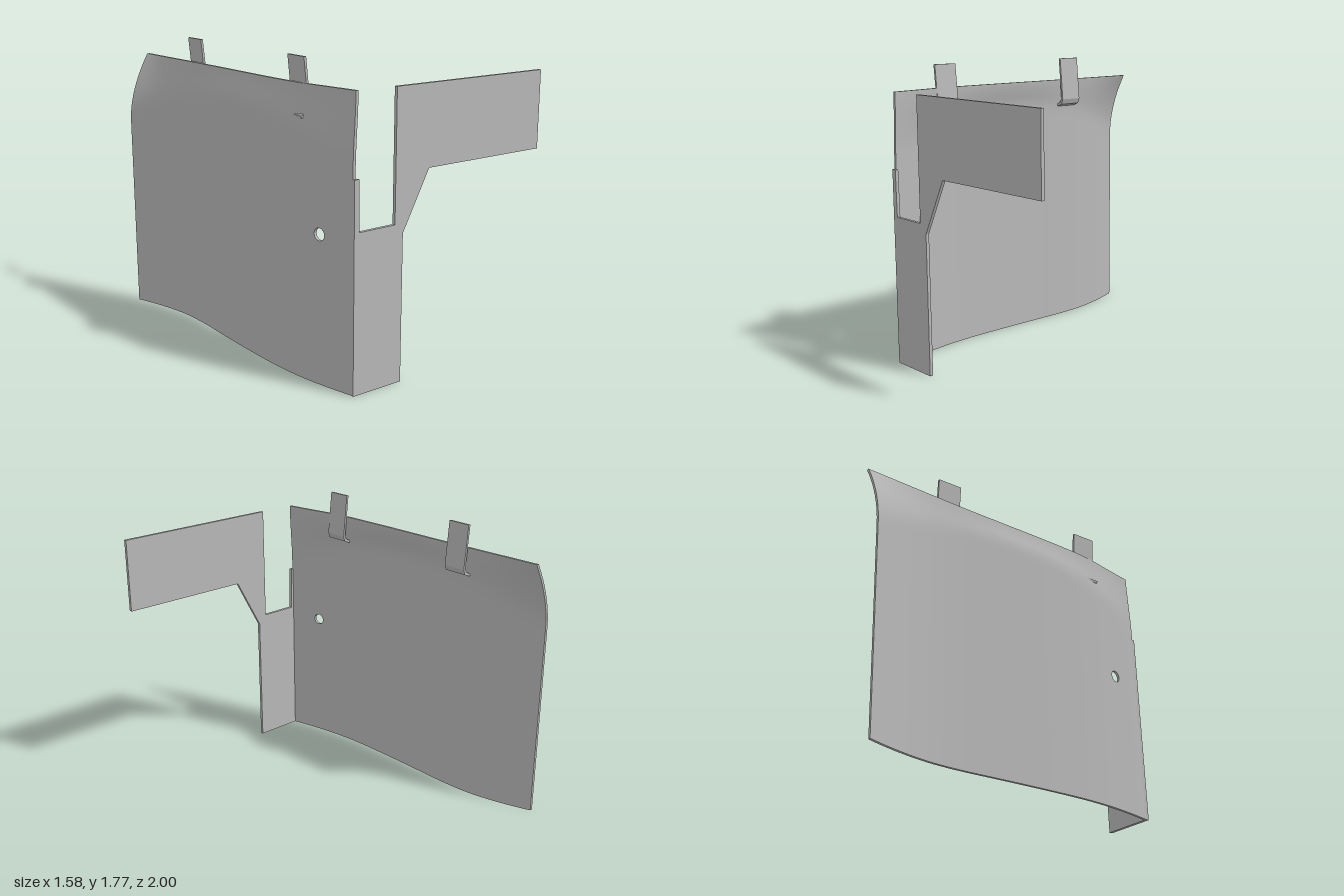
import * as THREE from 'three';
import { mergeVertices } from 'three/addons/utils/BufferGeometryUtils.js';

const THICK = 0.016, TOP = 1.63, FRONT = 0.985, STEP = 0.04;
const HOLE = { z: 0.77, y: 0.85, r: 0.035 };

// Plan-view x profiles of the panel, sampled every 0.2 in z from -1.2 to 1.2
const profile = (xs) => {
  const curve = new THREE.SplineCurve(xs.map((x, i) => new THREE.Vector2(x, -1.2 + i * 0.2)));
  return (z) => curve.getPoint((z + 1.2) / 2.4).x;
};
const lowerX = profile([-0.88, -0.79, -0.72, -0.673, -0.656, -0.655, -0.655, -0.652, -0.645, -0.625, -0.587, -0.535, -0.48]);
const upperX = profile([-0.664, -0.656, -0.647, -0.638, -0.63, -0.625, -0.621, -0.617, -0.61, -0.595, -0.558, -0.522, -0.5]);

// Outer surface: the lower profile bends into the straighter top edge
function outer(z, y) {
  const start = 1.46 - 0.24 * z * z;
  const t = THREE.MathUtils.clamp((y - start) / (TOP - start), 0, 1);
  const f = THREE.MathUtils.lerp(t * t * (3 - 2 * t), t ** 1.8, z < 0 ? z * z : 0);
  return new THREE.Vector3(THREE.MathUtils.lerp(lowerX(z), upperX(z), f), y, z);
}

// Inner surface: offset by the sheet thickness, keeping the sheet's own border
function inner(z, y) {
  const e = 0.005;
  const dz = outer(z + e, y).sub(outer(z - e, y));
  const dy = outer(z, y + e).sub(outer(z, y - e));
  const n = dy.cross(dz).normalize();
  const p = outer(z, y);
  p.x += THICK / Math.max(n.x, 0.6);
  return p;
}

function fromTriangles(points, smooth) {
  let g = new THREE.BufferGeometry().setFromPoints(points);
  if (smooth) g = mergeVertices(g, 1e-5);
  g.computeVertexNormals();
  return g;
}

// Grid lines aligned on the hole so a 4 x 4 block of cells can be left out
function lines(centre, min, max) {
  const out = [min];
  for (let k = Math.ceil((min - centre) / STEP); centre + k * STEP < max; k++) {
    const v = centre + k * STEP;
    if (v > min + 0.002 && v < max - 0.002) out.push(v);
  }
  return [...out, max];
}

function panel(material) {
  const group = new THREE.Group();
  group.name = 'curvedPanel';
  const zs = lines(HOLE.z, -1, FRONT), ys = lines(HOLE.y, 0, TOP);
  const quads = [];
  for (let i = 0; i < zs.length - 1; i++) {
    for (let j = 0; j < ys.length - 1; j++) {
      const cz = (zs[i] + zs[i + 1]) / 2, cy = (ys[j] + ys[j + 1]) / 2;
      if (Math.abs(cz - HOLE.z) < 2 * STEP && Math.abs(cy - HOLE.y) < 2 * STEP) continue;
      quads.push([[zs[i], ys[j]], [zs[i + 1], ys[j]], [zs[i + 1], ys[j + 1]], [zs[i], ys[j + 1]]]);
    }
  }

  // Ring of faces between the left-out square and the round hole
  const square = [], circle = [];
  for (let k = 0; k < 16; k++) {
    const a = (k / 16) * Math.PI * 2;
    const side = Math.floor(k / 4), s = (k % 4) - 2;
    const [u, v] = [[s, -2], [2, s], [-s, 2], [-2, -s]][side];
    square.push([HOLE.z + u * STEP, HOLE.y + v * STEP]);
    const b = a - Math.PI * 0.75;
    circle.push([HOLE.z + HOLE.r * Math.cos(b), HOLE.y + HOLE.r * Math.sin(b)]);
  }
  for (let k = 0; k < 16; k++) {
    const n = (k + 1) % 16;
    quads.push([square[k], square[n], circle[n], circle[k]]);
  }

  const sheet = (surface, flip) => {
    const pts = [];
    for (const q of quads) {
      const [a, b, c, d] = (flip ? [...q].reverse() : q).map(([z, y]) => surface(z, y));
      pts.push(a, b, c, a, c, d);
    }
    return fromTriangles(pts, true);
  };

  // Thin border faces along the outline and inside the hole
  const rimPts = [];
  const rim = (loop) => loop.forEach((p, i) => {
    const q = loop[(i + 1) % loop.length];
    const a = inner(...p), b = inner(...q), c = outer(...q), d = outer(...p);
    rimPts.push(a, b, c, a, c, d);
  });
  rim([
    ...zs.slice(0, -1).map((z) => [z, 0]),
    ...ys.slice(0, -1).map((y) => [FRONT, y]),
    ...zs.slice(1).reverse().map((z) => [z, TOP]),
    ...ys.slice(1).reverse().map((y) => [-1, y]),
  ]);
  rim([...circle].reverse());

  const add = (name, geometry) => {
    const mesh = new THREE.Mesh(geometry, material);
    mesh.name = name;
    group.add(mesh);
  };
  add('panelOuterFace', sheet(outer, false));
  add('panelInnerFace', sheet(inner, true));
  add('panelEdges', fromTriangles(rimPts, false));
  return group;
}

function extruded(name, points, depth, z, material) {
  const shape = new THREE.Shape(points.map(([x, y]) => new THREE.Vector2(x, y)));
  const mesh = new THREE.Mesh(new THREE.ExtrudeGeometry(shape, { depth, bevelEnabled: false }), material);
  mesh.position.z = z;
  mesh.name = name;
  return mesh;
}

// Bent strip: a foot on the panel's inner face, then a blade leaning outwards
function tab(name, footX, kneeX, topX, z, material) {
  const w = 0.014;
  const path = [[footX, 1.45], [kneeX - 0.013, 1.467], [kneeX, 1.5], [(kneeX + topX) / 2, 1.635], [topX, 1.77]];
  const back = path.map(([x, y], i) => [x - (i ? w : 0.004), y + (i < 2 ? w : 0)]).reverse();
  return extruded(name, [...path, ...back], 0.15, z, material);
}

export function createModel() {
  const model = new THREE.Group();
  model.name = 'bracketPanel';
  const grey = new THREE.MeshStandardMaterial({ color: 0xb8b8b8 });
  grey.name = 'plainGrey';

  model.add(panel(grey));

  // Flat front flange with its sideways arm
  model.add(extruded('frontFlangeAndArm', [
    [-0.54, 0], [-0.215, 0], [-0.215, 0.845], [-0.04, 1.175], [0.79, 1.175], [0.79, TOP],
    [-0.27, TOP], [-0.27, 0.9], [-0.505, 0.9], [-0.51, 1.18], [-0.54, 1.18],
  ], 0.02, 0.98, grey));

  // Hanging tabs on the top edge
  model.add(tab('frontTab', -0.617, -0.56, -0.587, 0.5, grey));
  model.add(tab('backTab', -0.642, -0.583, -0.608, -0.52, grey));
  return model;
}
